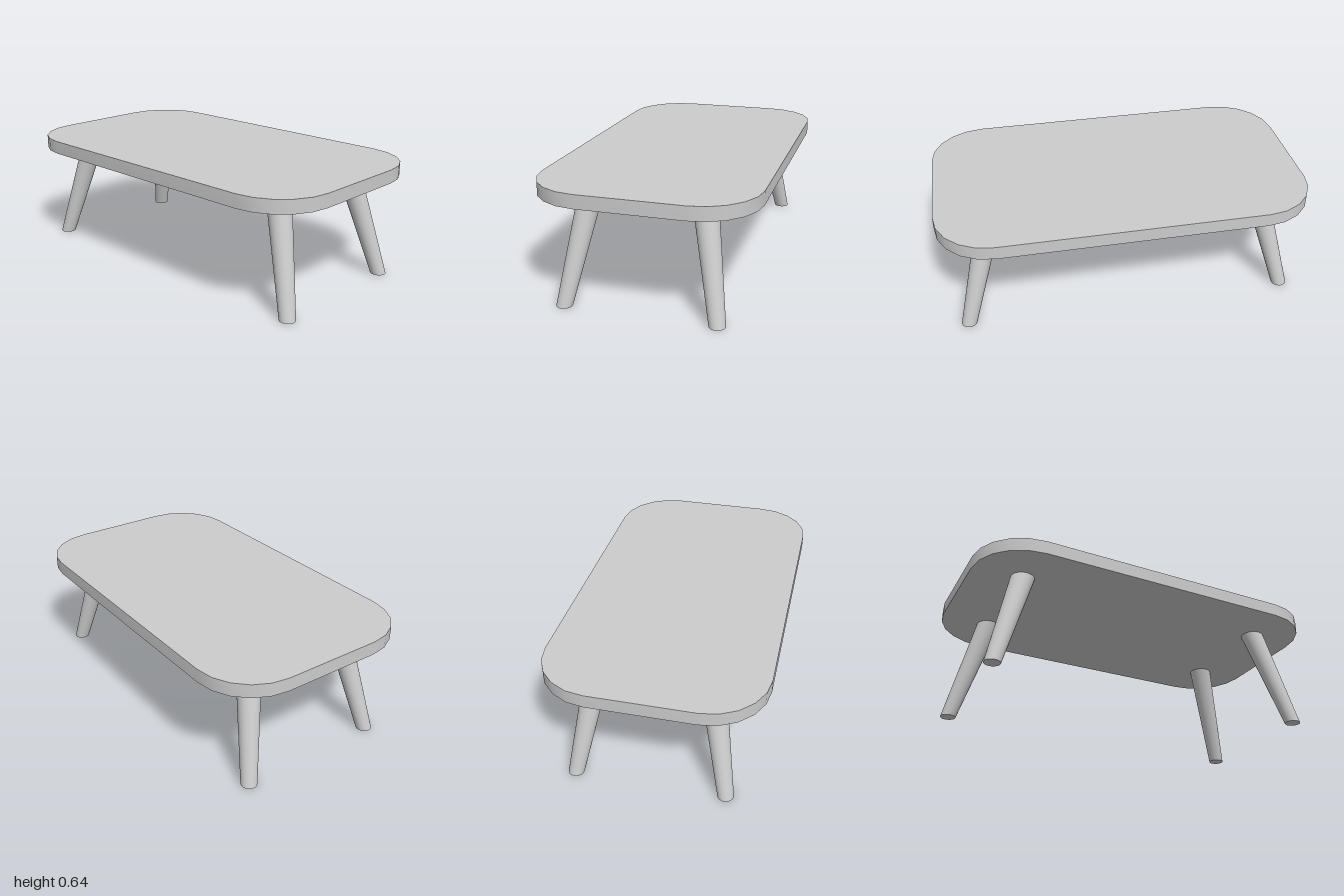
import * as THREE from 'three';
import { toCreasedNormals } from 'three/addons/utils/BufferGeometryUtils.js';

const material = new THREE.MeshStandardMaterial({ color: 0xcccccc });
const LEG_HEIGHT = 0.565;

// Rounded rectangle slab, five facets per corner
function tabletopGeometry(halfX, halfZ, radius, thickness) {
  const points = [];
  const steps = 5;
  [[1, 1], [-1, 1], [-1, -1], [1, -1]].forEach(([sx, sz], corner) => {
    for (let i = 0; i <= steps; i++) {
      const a = (corner + i / steps) * Math.PI / 2;
      points.push(new THREE.Vector2(
        sx * (halfX - radius) + radius * Math.cos(a),
        sz * (halfZ - radius) + radius * Math.sin(a)
      ));
    }
  });
  const slab = new THREE.ExtrudeGeometry(new THREE.Shape(points), { depth: thickness, bevelEnabled: false });
  slab.rotateX(-Math.PI / 2);
  return toCreasedNormals(slab, 0.6);
}

// Tapered leg, sheared outwards so both ends stay level
function legGeometry(sx, sz) {
  const top = { x: 0.73, z: 0.292 };
  const foot = { x: 0.887, z: 0.395 };
  const leg = new THREE.CylinderGeometry(0.064, 0.042, LEG_HEIGHT, 32);
  leg.translate(0, LEG_HEIGHT / 2, 0);
  const leanX = sx * (top.x - foot.x) / LEG_HEIGHT;
  const leanZ = sz * (top.z - foot.z) / LEG_HEIGHT;
  leg.applyMatrix4(new THREE.Matrix4().makeShear(0, 0, leanX, leanZ, 0, 0));
  leg.translate(sx * foot.x, 0, sz * foot.z);
  return leg;
}

export function createModel() {
  const table = new THREE.Group();
  table.name = 'table';

  const top = new THREE.Mesh(tabletopGeometry(1, 0.569, 0.3, 0.072), material);
  top.name = 'tabletop';
  top.position.y = LEG_HEIGHT;
  table.add(top);

  for (const [sx, side] of [[1, 'Left'], [-1, 'Right']]) {
    for (const [sz, end] of [[1, 'front'], [-1, 'back']]) {
      const leg = new THREE.Mesh(legGeometry(sx, sz), material);
      leg.name = `${end}${side}Leg`;
      table.add(leg);
    }
  }
  return table;
}
